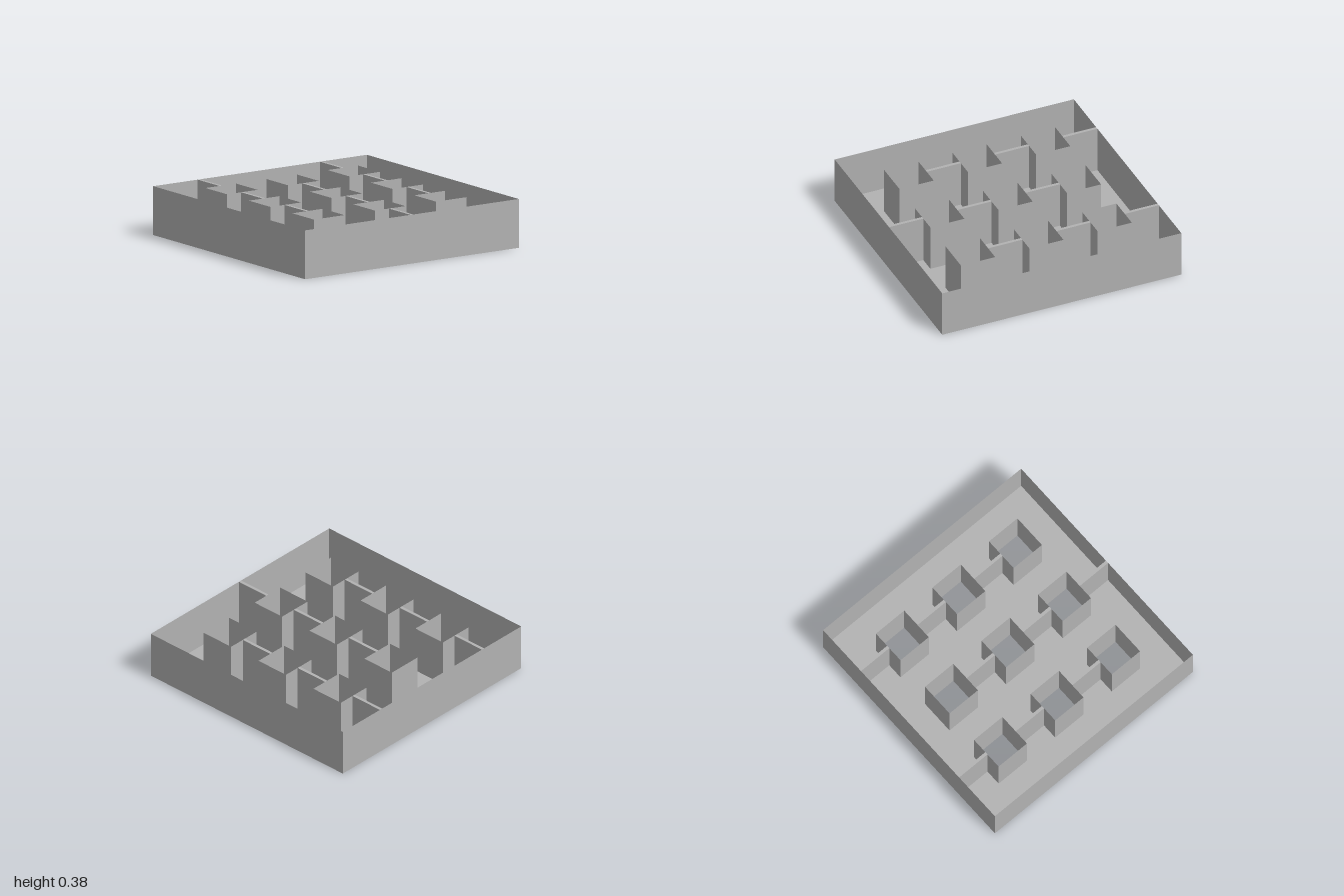
import * as THREE from 'three';

const U = 1 / 7;          // layout module: tray is 14 x 14 modules
const HEIGHT = 0.381;
const RIB = 0.025;        // rib thickness

export function createModel() {
  const group = new THREE.Group();
  const grey = new THREE.MeshStandardMaterial({ color: 0xb2b2b2, side: THREE.DoubleSide, flatShading: true });
  grey.name = 'grey';

  const add = (name, geometry, x, y, z) => {
    const mesh = new THREE.Mesh(geometry, grey);
    mesh.name = name;
    mesh.position.set(x, y, z);
    group.add(mesh);
  };

  // Open square sleeve, without top or bottom
  const sleeve = (half) =>
    new THREE.CylinderGeometry(half * Math.SQRT2, half * Math.SQRT2, HEIGHT, 4, 1, true, Math.PI / 4);

  const centres = [-4 * U, 0, 4 * U];

  // Floor with nine square openings
  const floor = new THREE.Shape([[-1, -1], [1, -1], [1, 1], [-1, 1]].map(([x, y]) => new THREE.Vector2(x, y)));
  for (const x of centres) for (const z of centres) {
    const corners = [[-U, -U], [-U, U], [U, U], [U, -U]];
    floor.holes.push(new THREE.Path(corners.map(([a, b]) => new THREE.Vector2(x + a, z + b))));
  }
  add('floor', new THREE.ShapeGeometry(floor).rotateX(-Math.PI / 2), 0, 0, 0);

  // Outer walls
  add('outerWalls', sleeve(1), 0, HEIGHT / 2, 0);

  // Square tubes rising from the openings
  for (const x of centres) for (const z of centres) add('squareTube', sleeve(U), x, HEIGHT / 2, z);

  // Ribs joining the tubes, plus one rib per row to alternating side walls
  const ribGeometry = new THREE.BoxGeometry(2 * U, HEIGHT, RIB);
  centres.forEach((z, row) => {
    const side = row === 1 ? 1 : -1;
    for (const x of [-2 * U, 2 * U, side * 6 * U]) add('rib', ribGeometry, x, HEIGHT / 2, z);
  });

  return group;
}
